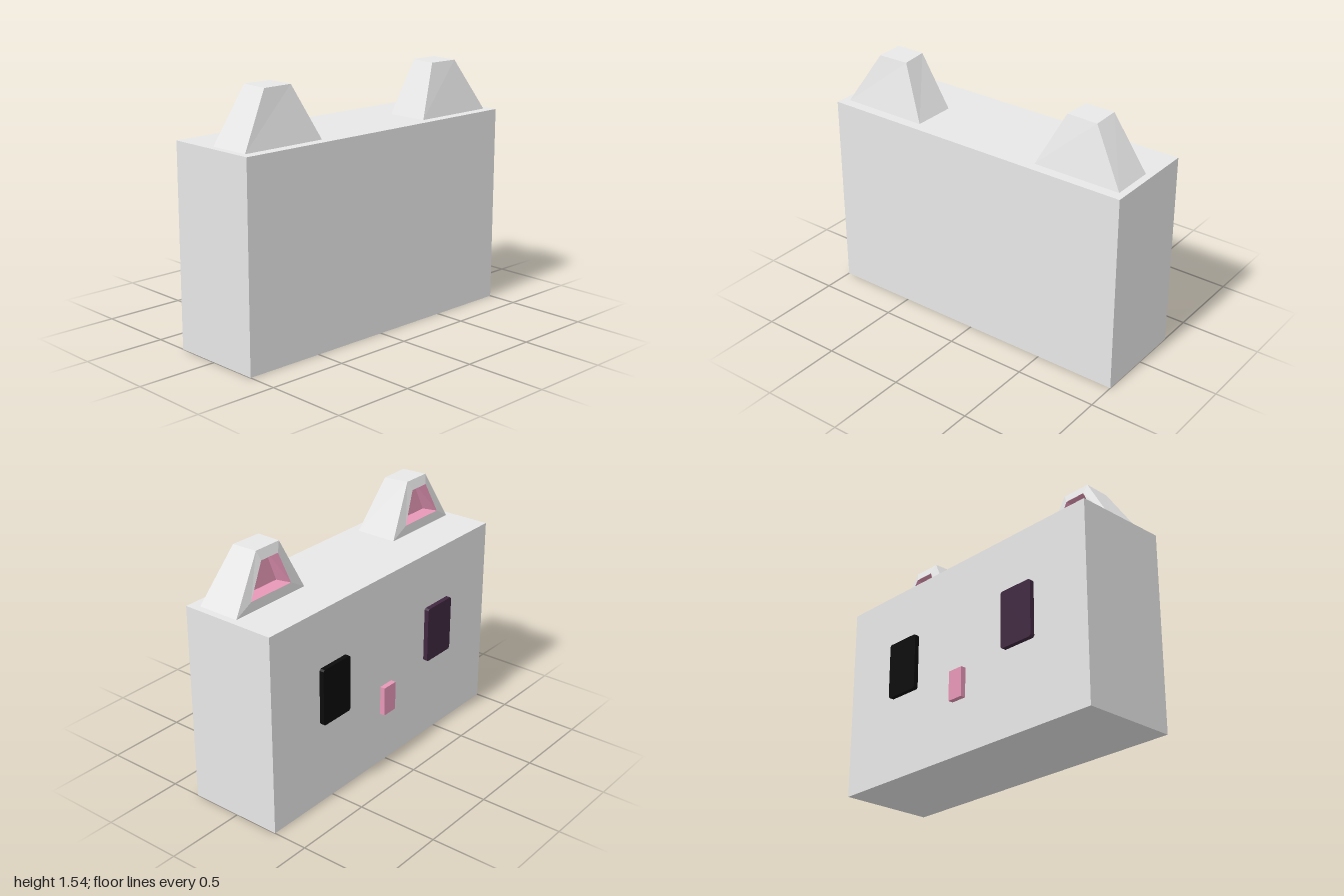
import * as THREE from 'three';

const mat = (name, color, flatShading = true) => {
  const m = new THREE.MeshStandardMaterial({ color, flatShading });
  m.name = name;
  return m;
};

// Flat-shaded geometry from four-cornered faces; mirrored in z when side is -1
function quads(faces, side) {
  const pos = [];
  for (const f of faces) {
    const q = f.map(([x, y, z]) => [x, y, z * side]);
    if (side < 0) q.reverse();
    for (const i of [0, 1, 2, 0, 2, 3]) pos.push(...q[i]);
  }
  const g = new THREE.BufferGeometry();
  g.setAttribute('position', new THREE.Float32BufferAttribute(pos, 3));
  g.computeVertexNormals();
  return g;
}

// Band of faces between two four-cornered loops
const band = (o, n) => o.map((p, i) => [p, o[(i + 1) % 4], n[(i + 1) % 4], n[i]]);

export function createModel() {
  const root = new THREE.Group();
  root.name = 'blockCat';
  const fur = mat('light grey', 0xe7e7e7);
  const pink = mat('pink', 0xe898b8);
  const purple = mat('dark purple', 0x402840);
  const black = mat('black', 0x0b0b0b);

  const add = (name, geo, material, parent = root) => {
    const m = new THREE.Mesh(geo, material);
    m.name = name;
    parent.add(m);
    return m;
  };
  const box = (name, material, [x0, x1], [y0, y1], [z0, z1]) =>
    add(name, new THREE.BoxGeometry(x1 - x0, y1 - y0, z1 - z0), material)
      .position.set((x0 + x1) / 2, (y0 + y1) / 2, (z0 + z1) / 2);

  // Body block and nose; the face looks towards -x
  box('body', fur, [-0.285, 0.313], [0, 1.215], [-1, 1]);
  box('nose', pink, [-0.317, -0.285], [0.333, 0.515], [-0.055, 0.05]);

  // Eyes: thin plates with clipped corners
  const w = 0.117, h = 0.175, c = 0.01;
  const outline = new THREE.Shape([
    [-w + c, -h], [w - c, -h], [w, -h + c], [w, h - c],
    [w - c, h], [-w + c, h], [-w, h - c], [-w, -h + c],
  ].map(([x, y]) => new THREE.Vector2(x, y)));
  for (const side of [1, -1]) {
    const eye = add(side > 0 ? 'purpleEye' : 'blackEye',
      new THREE.ExtrudeGeometry(outline, { depth: 0.029, bevelEnabled: false }),
      side > 0 ? purple : black);
    eye.rotation.y = -Math.PI / 2;
    eye.position.set(-0.285, 0.69, 0.488 * side);
  }

  // Ears: tapered blocks with a recessed pink inside
  const [a, b, cc, d] = [[-0.015, 1.215, 0.41], [0.25, 1.215, 0.41], [0.25, 1.215, 0.957], [-0.015, 1.215, 0.957]];
  const [e, f, g, k] = [[0.013, 1.537, 0.577], [0.172, 1.532, 0.565], [0.178, 1.532, 0.759], [0.013, 1.537, 0.759]];
  const rim = [[-0.021, 1.28, 0.525], [-0.021, 1.28, 0.845], [-0.005, 1.48, 0.74], [-0.005, 1.48, 0.607]];
  const back = [[0.075, 1.275, 0.54], [0.075, 1.275, 0.83], [0.085, 1.475, 0.735], [0.085, 1.475, 0.612]];
  for (const side of [1, -1]) {
    const ear = new THREE.Group();
    ear.name = side > 0 ? 'frontEar' : 'backEar';
    root.add(ear);
    const shell = [[d, cc, g, k], [cc, b, f, g], [b, a, e, f], [e, k, g, f], ...band([a, d, k, e], rim)];
    add('earShell', quads(shell, side), fur, ear);
    add('earInside', quads([...band(rim, back), back], side), pink, ear);
  }
  return root;
}
